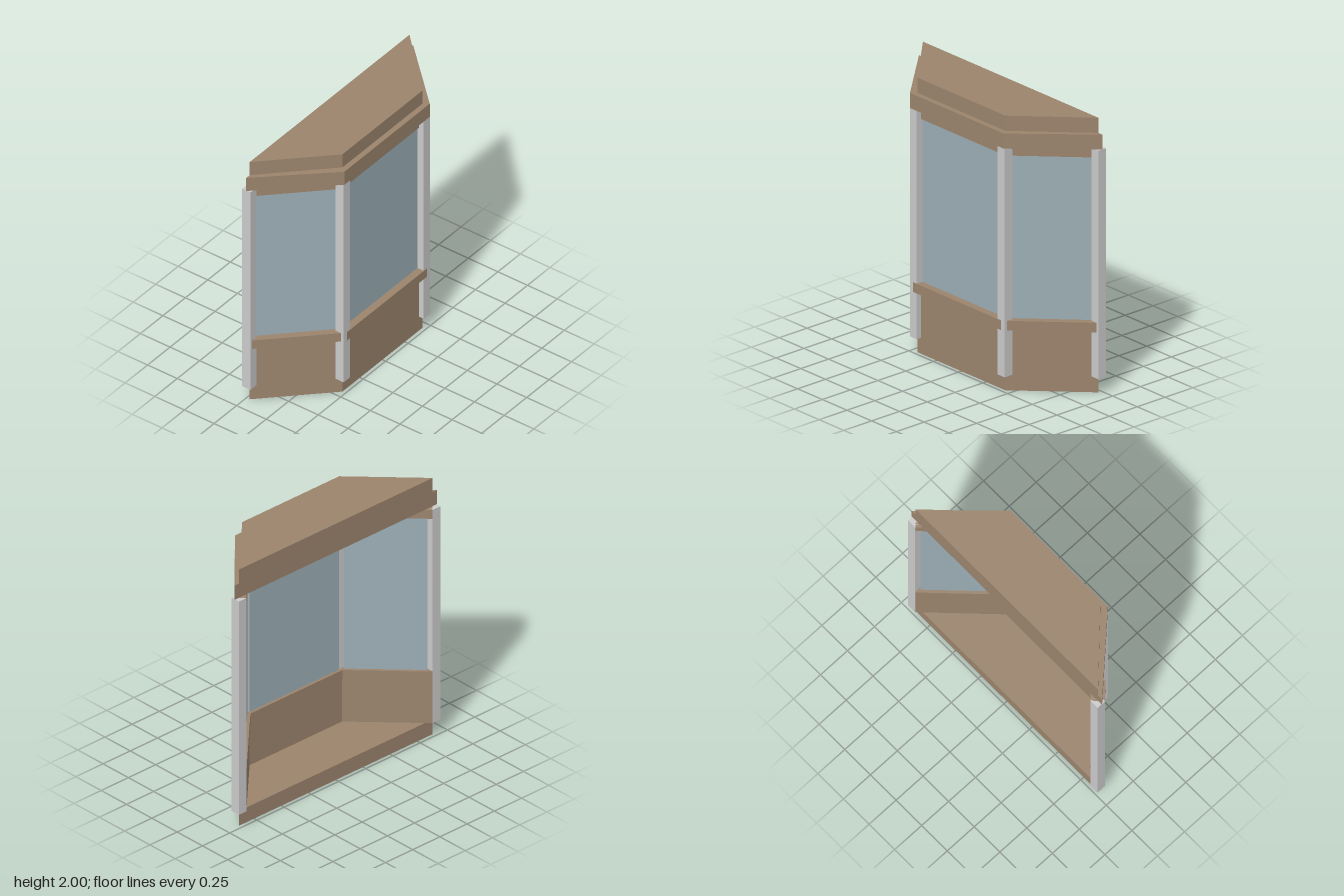
import * as THREE from 'three';

const wood = new THREE.MeshStandardMaterial({ color: 0x9b846d, flatShading: true });
const glass = new THREE.MeshStandardMaterial({ color: 0x9baeb5, flatShading: true });
const grey = new THREE.MeshStandardMaterial({ color: 0xcccccc, flatShading: true });

// Plan of the bay: half widths at the front and back, and half depth
const FRONT = 0.445, BACK = 0.89, DEPTH = 0.2225;

export function createModel() {
  const model = new THREE.Group();
  model.name = 'bayWindow';

  const add = (name, geometry, material, parent = model) => {
    const mesh = new THREE.Mesh(geometry, material);
    mesh.name = name;
    parent.add(mesh);
    return mesh;
  };

  // Solid trapezoid slab between two heights
  const slab = (name, y0, y1, front, back, zFront) => {
    const shape = new THREE.Shape([
      new THREE.Vector2(-front, -zFront),
      new THREE.Vector2(front, -zFront),
      new THREE.Vector2(back, DEPTH),
      new THREE.Vector2(-back, DEPTH),
    ]);
    const geometry = new THREE.ExtrudeGeometry(shape, { depth: y1 - y0, bevelEnabled: false });
    geometry.rotateX(-Math.PI / 2).translate(0, y0, 0);
    add(name, geometry, wood);
  };

  slab('floorPlinth', 0, 0.115, FRONT, BACK, DEPTH);
  slab('cornice', 1.78, 1.89, 0.475, 0.93, 0.2625);
  slab('roof', 1.89, 2, FRONT, BACK, DEPTH);

  // One group per face of the bay; local +z points outwards from the plan line
  const sideLength = Math.hypot(BACK - FRONT, 2 * DEPTH);
  const mid = (FRONT + BACK) / 2;
  const faces = [
    { name: 'frontFace', length: 2 * FRONT, x: 0, z: DEPTH, turn: 0 },
    { name: 'leftFace', length: sideLength, x: mid, z: 0, turn: Math.PI / 4 },
    { name: 'rightFace', length: sideLength, x: -mid, z: 0, turn: -Math.PI / 4 },
  ];
  for (const face of faces) {
    const group = new THREE.Group();
    group.name = face.name;
    group.position.set(face.x, 0, face.z);
    group.rotation.y = face.turn;
    model.add(group);

    const panel = (name, material, y0, y1, inner, outer, trim = 0) => {
      const geometry = new THREE.BoxGeometry(face.length - 2 * trim, y1 - y0, outer - inner);
      add(name, geometry, material, group)
        .position.set(0, (y0 + y1) / 2, (inner + outer) / 2);
    };
    panel('lowerWall', wood, 0.115, 0.45, -0.05, 0);
    panel('sill', wood, 0.45, 0.52, -0.056, face.turn ? 0.035 : 0.04);
    panel('windowPane', glass, 0.52, 1.71, -0.035, -0.015, 0.034);
    panel('header', wood, 1.71, 1.78, -0.05, 0);
  }

  // Square posts at the four corners
  const post = new THREE.BoxGeometry(0.07, 1.665, 0.07);
  for (const side of [-1, 1]) {
    add('frontPost', post, grey).position.set(side * FRONT, 0.9475, 0.2245);
    add('backPost', post, grey).position.set(side * BACK, 0.9475, -0.2245);
  }

  return model;
}
